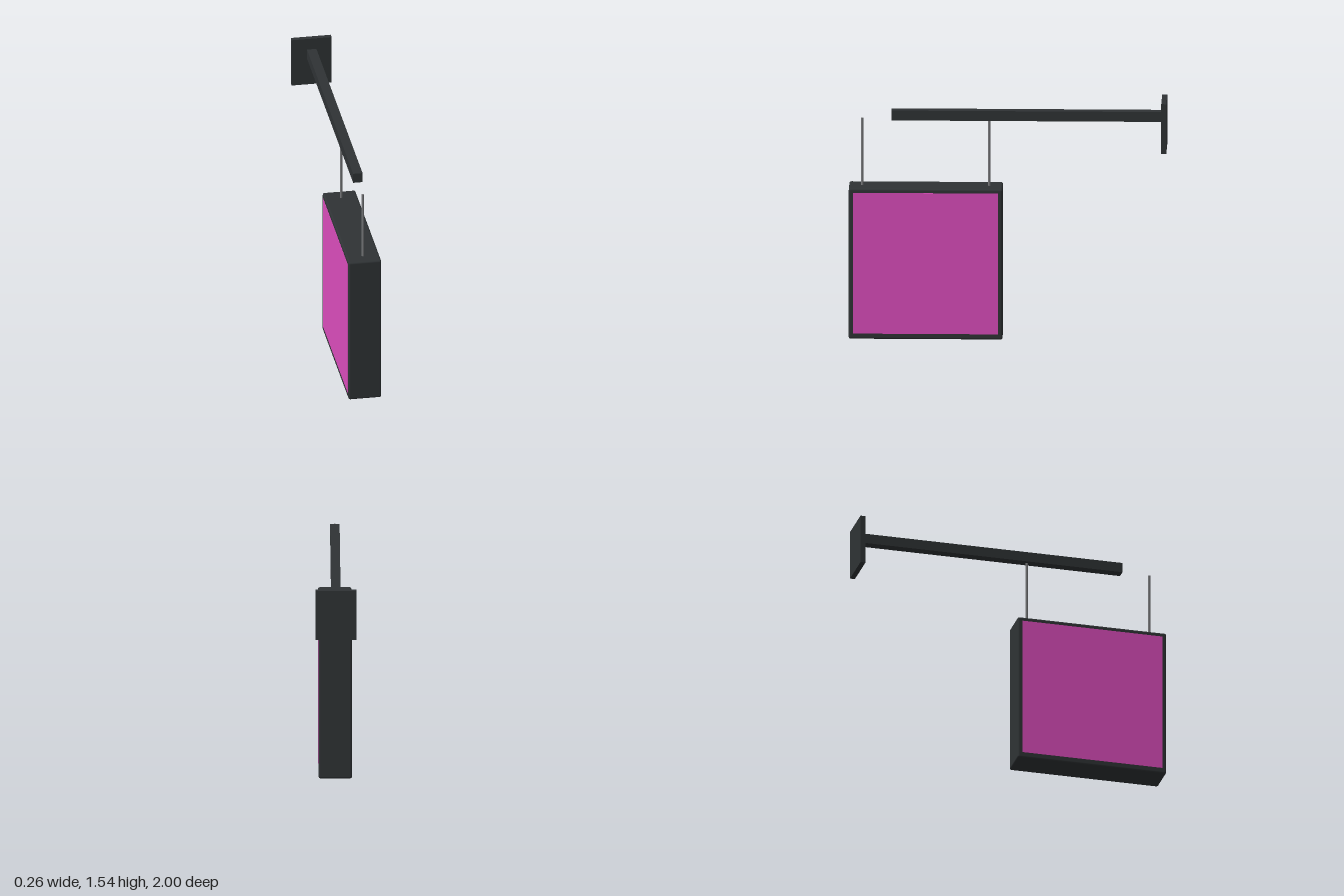
import * as THREE from 'three';
import { RoundedBoxGeometry } from 'three/addons/geometries/RoundedBoxGeometry.js';

export function createModel() {
  const model = new THREE.Group();
  model.name = 'hangingWallSign';
  const dark = new THREE.MeshStandardMaterial({ color: 0x2f3335 });
  const steel = new THREE.MeshStandardMaterial({ color: 0x77787a });
  const pink = new THREE.MeshStandardMaterial({ color: 0xdd4dbd });

  function add(name, geometry, material, x, y, z) {
    const mesh = new THREE.Mesh(geometry, material);
    mesh.name = name;
    mesh.position.set(x, y, z);
    model.add(mesh);
    return mesh;
  }

  // Wall plate and the square arm reaching forward from it
  add('wallPlate', new THREE.BoxGeometry(0.256, 0.322, 0.032), dark, 0, 1.378, -0.984);
  add('arm', new THREE.BoxGeometry(0.06, 0.064, 1.703), dark, 0, 1.432, -0.1185);

  // Sign case with softened edges
  const size = 0.968, centreY = 0.487, centreZ = 0.516;
  add('signCase', new RoundedBoxGeometry(0.21, 0.974, size, 2, 0.012), dark, 0, centreY, centreZ);

  // Coloured face panel on each side
  for (const [name, side] of [['leftPanel', 1], ['rightPanel', -1]]) {
    add(name, new THREE.BoxGeometry(0.006, 0.912, 0.912), pink, side * 0.1035, 0.492, centreZ);
  }

  // Two thin hanging rods
  for (const [name, z] of [['frontRod', 0.916], ['backRod', 0.117]]) {
    add(name, new THREE.CylinderGeometry(0.008, 0.008, 0.45, 12), steel, 0, 1.185, z);
  }

  return model;
}
